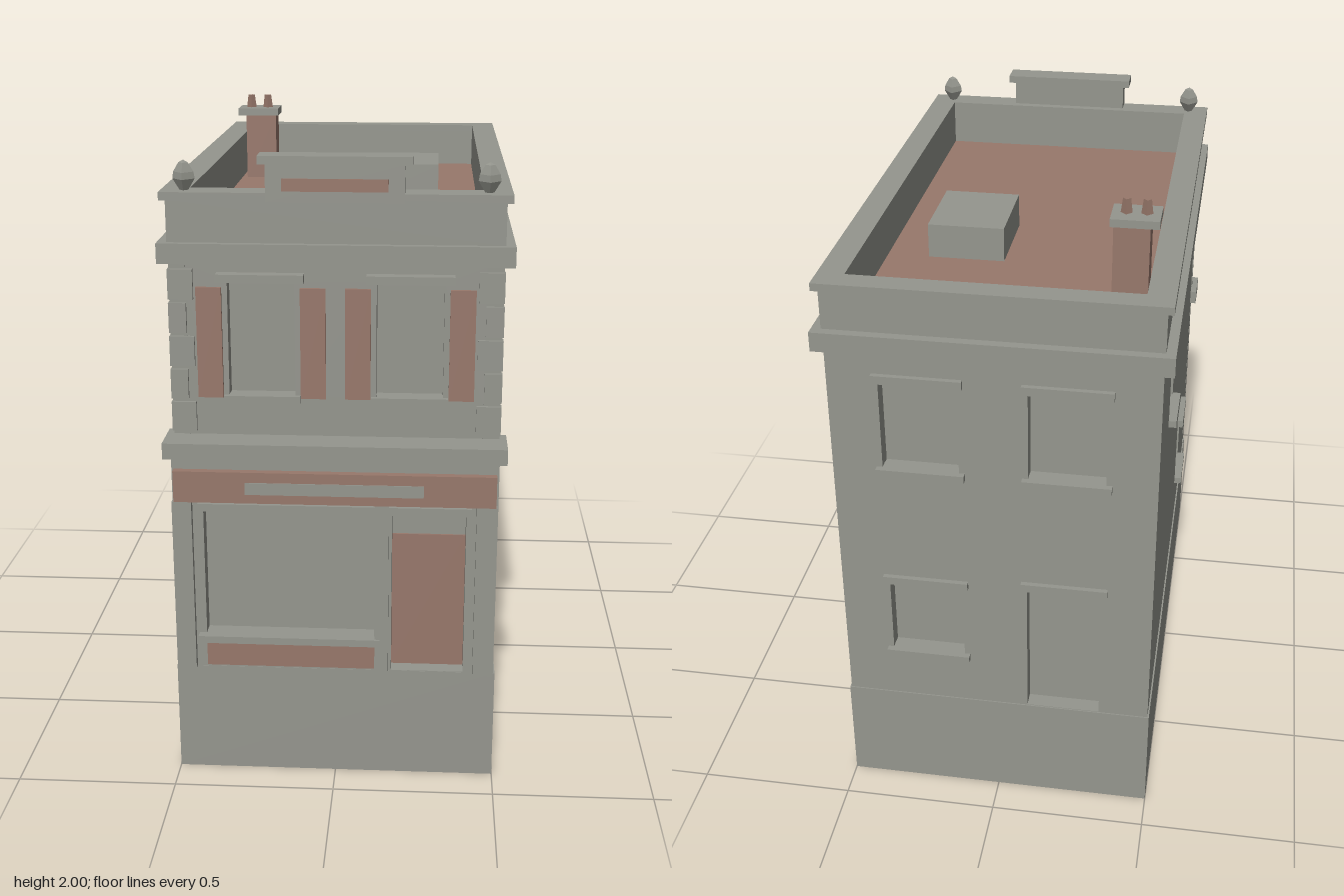
import * as THREE from 'three';

const grey = new THREE.MeshStandardMaterial({ color: 0x95968e, side: THREE.DoubleSide });
grey.name = 'stone grey';
const red = new THREE.MeshStandardMaterial({ color: 0x98786b });
red.name = 'brick red';

const RECESS = 0.05;

function add(parent, name, geometry, material) {
  const mesh = new THREE.Mesh(geometry, material);
  mesh.name = name;
  parent.add(mesh);
  return mesh;
}

// Box given by its bounds
function box(parent, name, material, x0, x1, y0, y1, z0, z1) {
  const mesh = add(parent, name, new THREE.BoxGeometry(x1 - x0, y1 - y0, z1 - z0), material);
  mesh.position.set((x0 + x1) / 2, (y0 + y1) / 2, (z0 + z1) / 2);
  return mesh;
}

function rectPath(PathType, x0, x1, y0, y1) {
  const p = new PathType();
  p.moveTo(x0, y0).lineTo(x1, y0).lineTo(x1, y1).lineTo(x0, y1).closePath();
  return p;
}

// Wall with rectangular openings, facing outward at the given distance
function facade(parent, name, angle, dist, u0, u1, y0, y1, holes) {
  const group = new THREE.Group();
  group.name = name;
  group.rotation.y = angle;
  parent.add(group);
  const shape = rectPath(THREE.Shape, u0, u1, y0, y1);
  for (const h of holes) shape.holes.push(rectPath(THREE.Path, ...h));
  const geo = new THREE.ExtrudeGeometry(shape, { depth: RECESS, bevelEnabled: false });
  geo.translate(0, 0, dist - RECESS);
  add(group, name + 'Wall', geo, grey);
  return group;
}

// Lintel and sill around an opening [u0, u1, y0, y1]
function trim(face, dist, [u0, u1, y0, y1], over, outLintel, outSill, sill = true) {
  box(face, 'lintel', grey, u0 - over, u1 + over, y1, y1 + 0.027, dist - 0.02, dist + outLintel);
  if (sill) box(face, 'sill', grey, u0 - over, u1 + over, y0 - 0.02, y0 + 0.003, dist - 0.03, dist + outSill);
}

// Horizontal frame around the roof opening
function roofRing(parent, name, hx, z0, z1, y0, y1) {
  const shape = rectPath(THREE.Shape, -hx, hx, -z1, -z0);
  shape.holes.push(rectPath(THREE.Path, -0.433, 0.433, -0.733, 0.82));
  const geo = new THREE.ExtrudeGeometry(shape, { depth: y1 - y0, bevelEnabled: false });
  geo.rotateX(-Math.PI / 2).translate(0, y0, 0);
  add(parent, name, geo, grey);
}

export function createModel() {
  const model = new THREE.Group();
  model.name = 'townhouse';

  // Plinth, open underneath (bottom face dropped)
  const plinth = new THREE.BoxGeometry(1, 0.36, 1.768);
  const idx = Array.from(plinth.index.array);
  idx.splice(18, 6);
  plinth.setIndex(idx);
  plinth.clearGroups();
  add(model, 'plinth', plinth, grey).position.set(0, 0.18, 0.001);

  // Core: its faces are the window panes seen at the back of each opening
  box(model, 'core', grey, -0.445, 0.445, 0.361, 1.69, -0.829, 0.76);

  // Side walls; the window layout is swapped between the two sides
  const right = [[-0.39, -0.23, 1.252, 1.517], [0.32, 0.48, 0.58, 0.81]];
  const left = [[-0.48, -0.32, 1.252, 1.517], [0.23, 0.39, 0.58, 0.81]];
  const sideA = facade(model, 'leftSide', Math.PI / 2, 0.495, -0.81, 0.879, 0.36, 1.66, right);
  const sideB = facade(model, 'rightSide', -Math.PI / 2, 0.495, -0.879, 0.81, 0.36, 1.66, left);
  for (const h of right) trim(sideA, 0.495, h, 0.013, 0.02, 0.025);
  for (const h of left) trim(sideB, 0.495, h, 0.013, 0.02, 0.025);

  // Back wall: three windows and a door
  const backHoles = [
    [0.105, 0.34, 1.243, 1.54], [-0.34, -0.105, 1.243, 1.54],
    [-0.34, -0.105, 0.548, 0.815], [0.1, 0.335, 0.362, 0.835],
  ];
  const back = facade(model, 'back', Math.PI, 0.879, -0.494, 0.494, 0.36, 1.66, backHoles);
  backHoles.forEach((h, i) => trim(back, 0.879, h, 0.018, 0.016, 0.02, i < 3));

  // Upper front: two windows with shutters
  const upperHoles = [-1, 1].map((s) => [s * 0.222 - 0.1, s * 0.222 + 0.1, 1.235, 1.59]);
  const upper = facade(model, 'upperFront', 0, 0.809, -0.494, 0.494, 1.06, 1.66, upperHoles);
  for (const h of upperHoles) {
    const c = (h[0] + h[1]) / 2;
    box(upper, 'lintel', grey, c - 0.13, c + 0.13, 1.59, 1.615, 0.79, 0.845);
    box(upper, 'sill', grey, c - 0.115, c + 0.115, 1.214, 1.237, 0.78, 0.825);
    for (const s of [-1, 1]) {
      const m = c + s * 0.155;
      box(upper, 'shutter', red, m - 0.038, m + 0.038, 1.23, 1.57, 0.8, 0.82);
    }
  }

  // Corner quoins, alternately wide and narrow
  for (let i = 0; i < 5; i++) {
    const w = i % 2 ? 0.053 : 0.075;
    const y = 1.122 + i * 0.1025;
    for (const s of [-1, 1]) {
      const m = s * (0.498 - w / 2);
      box(model, 'quoin', grey, m - w / 2, m + w / 2, y, y + 0.092, 0.795, 0.82);
    }
  }

  // Shopfront bay
  const shopWindow = [-0.402, 0.122, 0.475, 0.89];
  const shopDoor = [0.175, 0.4, 0.362, 0.89];
  box(model, 'shopBacking', grey, -0.494, 0.494, 0.361, 1.07, 0.76, 0.834);
  const shop = facade(model, 'shopfront', 0, 0.884, -0.495, 0.495, 0.36, 1.07, [shopWindow, shopDoor]);
  for (const [x0, x1] of [[-0.495, -0.435], [0.124, 0.166], [0.43, 0.492]]) {
    box(shop, 'pilaster', grey, x0, x1, 0.36, 0.922, 0.87, 0.905);
  }
  box(shop, 'windowHead', grey, -0.417, 0.124, 0.89, 0.915, 0.86, 0.9);
  box(shop, 'windowSill', grey, -0.425, 0.14, 0.453, 0.476, 0.85, 0.912);
  box(shop, 'doorHead', grey, 0.166, 0.415, 0.89, 0.915, 0.86, 0.9);
  box(shop, 'stallPanel', red, -0.402, 0.124, 0.366, 0.443, 0.882, 0.888);
  box(shop, 'door', red, 0.175, 0.4, 0.363, 0.806, 0.832, 0.84);
  box(shop, 'signBoard', red, -0.488, 0.488, 0.923, 1.022, 0.88, 0.908);
  box(shop, 'signPlate', grey, -0.27, 0.27, 0.952, 0.99, 0.905, 0.911);
  box(shop, 'shopCornice', grey, -0.517, 0.517, 1.06, 1.11, 0.77, 0.908);

  // Cornice, parapet, coping and roof
  roofRing(model, 'mainCornice', 0.526, -0.91, 0.832, 1.642, 1.703);
  roofRing(model, 'parapet', 0.497, -0.881, 0.811, 1.703, 1.83);
  roofRing(model, 'coping', 0.515, -0.895, 0.82, 1.828, 1.852);
  box(model, 'roof', red, -0.433, 0.433, 1.68, 1.7, -0.82, 0.733);
  box(model, 'roofHatch', grey, 0.057, 0.3, 1.695, 1.81, -0.335, -0.045);

  // Raised panel over the front parapet
  box(model, 'pediment', grey, -0.202, 0.202, 1.825, 1.937, 0.76, 0.823);
  box(model, 'pedimentCap', grey, -0.224, 0.224, 1.935, 1.96, 0.745, 0.828);
  box(model, 'pedimentPanel', red, -0.155, 0.155, 1.858, 1.895, 0.82, 0.827);

  // Corner finials
  const profile = [[0.012, 0], [0.033, 0.035], [0.03, 0.055], [0.014, 0.082], [0, 0.09]]
    .map(([r, y]) => new THREE.Vector2(r, y));
  for (const s of [-1, 1]) {
    const geo = new THREE.LatheGeometry(profile, 4).toNonIndexed();
    geo.computeVertexNormals();
    add(model, 'finial', geo, grey).position.set(s * 0.446, 1.85, 0.773);
  }

  // Chimney with two pots
  box(model, 'chimneyStack', red, -0.415, -0.305, 1.695, 1.932, -0.535, -0.44);
  box(model, 'chimneyCap', grey, -0.443, -0.295, 1.93, 1.955, -0.55, -0.428);
  for (const x of [-0.4, -0.339]) {
    const pot = new THREE.CylinderGeometry(0.012, 0.018, 0.046, 4).toNonIndexed();
    pot.computeVertexNormals();
    add(model, 'chimneyPot', pot, red).position.set(x, 1.977, -0.49);
  }

  return model;
}
